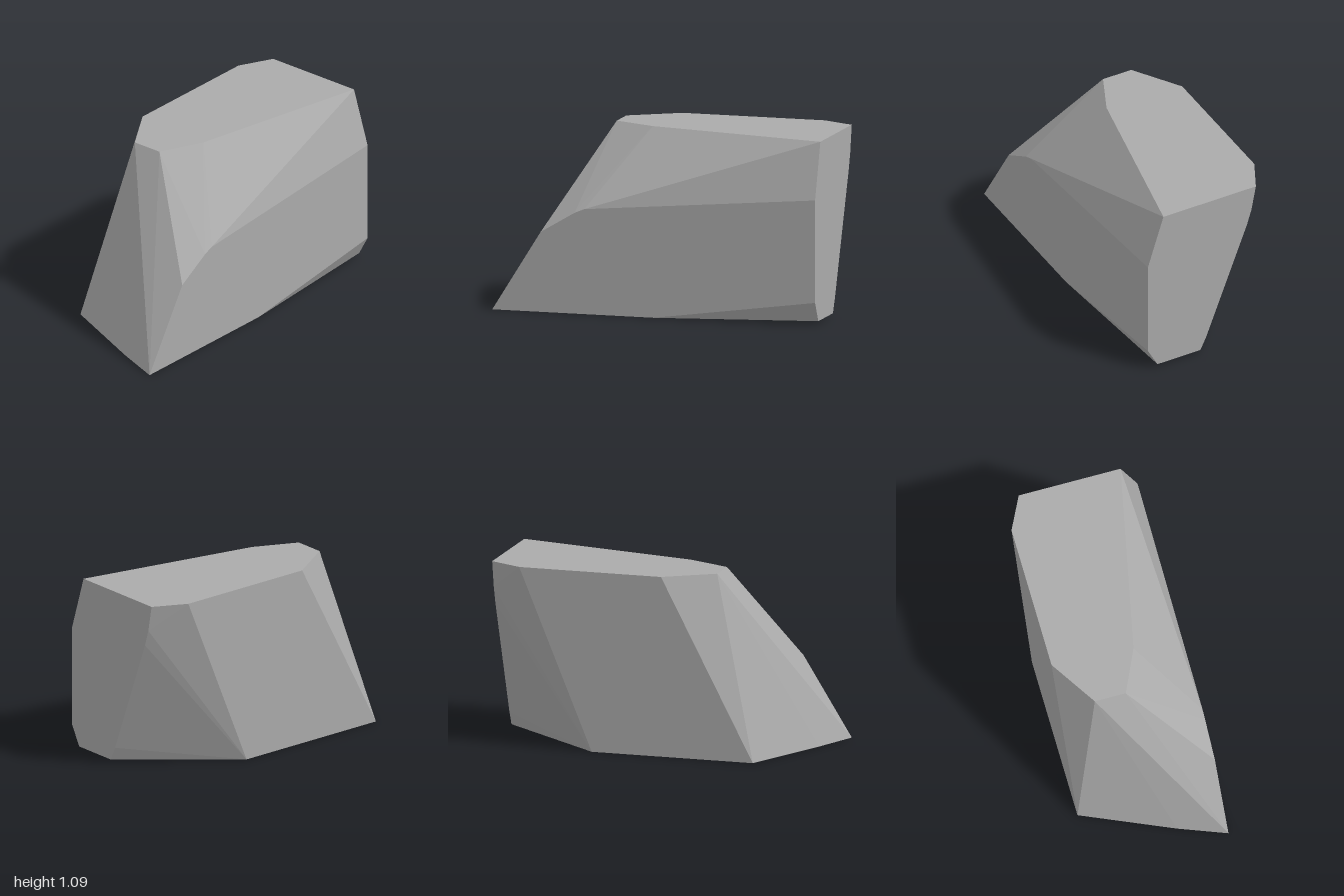
import * as THREE from 'three';
import { ConvexGeometry } from 'three/addons/geometries/ConvexGeometry.js';

const HEIGHT = 1.09, DEPTH = 0.415;

export function createModel() {
  const group = new THREE.Group();
  group.name = 'rock';
  const stone = new THREE.MeshStandardMaterial({ color: 0xaaaaaa });
  stone.name = 'stone grey';

  const corners = [];
  const add = (list, place) => list.forEach(([a, b]) => corners.push(new THREE.Vector3(...place(a, b))));

  // flat top, as x, z
  add([[-0.37, -0.23], [-0.08, -DEPTH], [0.8, -DEPTH], [1, -0.315], [1, 0.31], [-0.11, 0.08], [-0.37, -0.04]],
    (x, z) => [x, HEIGHT, z]);
  // flat front, as x, y
  add([[-1, 0], [-0.7, 0.48], [-0.49, 0.605], [-0.43, 0.63], [1, 0.755], [1, 0.14], [0, 0]],
    (x, y) => [x, y, DEPTH]);
  // cut side at +x, as z, y
  add([[0.35, 0.02], [0.06, 0.02], [0.02, 0.105], [-0.255, 0.83], [-0.285, 0.93]],
    (z, y) => [1, y, z]);
  // back and left edge of the base, as x, z
  add([[0.35, -DEPTH], [-0.65, -DEPTH], [-0.89, 0.13]],
    (x, z) => [x, 0, z]);

  const boulder = new THREE.Mesh(new ConvexGeometry(corners), stone);
  boulder.name = 'boulder';
  group.add(boulder);
  return group;
}
